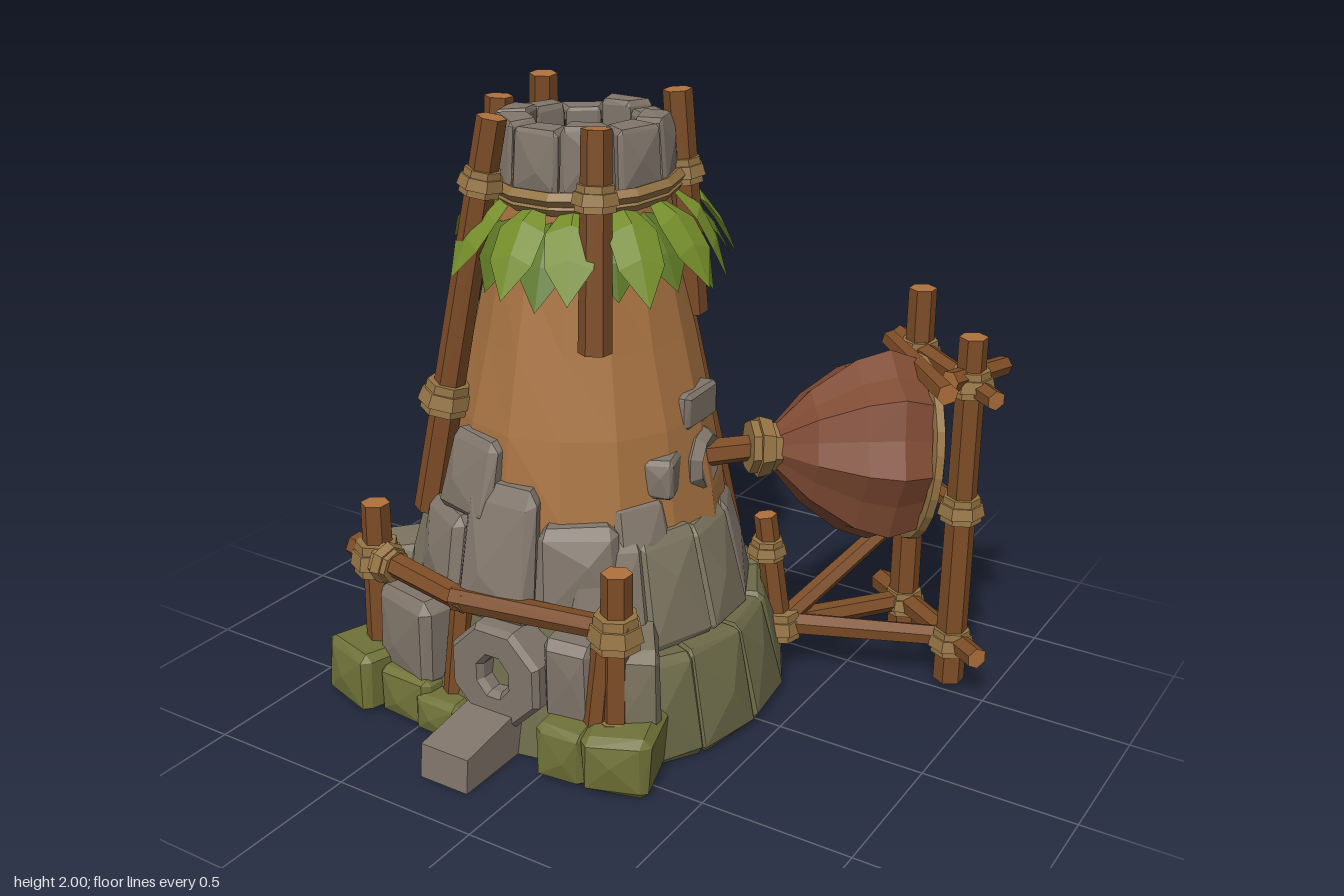
import * as THREE from 'three';
import { ConvexGeometry } from 'three/addons/geometries/ConvexGeometry.js';

const V = (x, y, z) => new THREE.Vector3(x, y, z);
const mat = (color, side = THREE.FrontSide) => new THREE.MeshStandardMaterial({ color, flatShading: true, side });
const M = {
  stone: mat(0x80756a), stoneWarm: mat(0x7c7460), moss: mat(0x6c6a48), mossy: mat(0x6f7238),
  clay: mat(0xa87342, THREE.DoubleSide), wood: mat(0x7c4c26), woodEnd: mat(0xb0713c), rope: mat(0x957444),
  leaf: mat(0x748c2a, THREE.DoubleSide), leafDark: mat(0x5c7726, THREE.DoubleSide),
  cloth: mat(0x7f4a33), dark: mat(0x3a2a20, THREE.DoubleSide),
};

export function createModel() {
  const model = new THREE.Group();
  let seed = 7;
  const rnd = () => (seed = (seed * 16807) % 2147483647) / 2147483647;
  const jit = (a) => (rnd() - 0.5) * 2 * a;

  const add = (name, geometry, material, parent = model) => {
    const mesh = new THREE.Mesh(geometry, material);
    mesh.name = name;
    parent.add(mesh);
    return mesh;
  };
  const group = (name) => {
    const g = new THREE.Group();
    g.name = name;
    model.add(g);
    return g;
  };

  // Chamfered, slightly irregular unit block mapped through a placing rule
  const block = (name, place, material, parent, c = 0.22, rough = 0.06) => {
    const pts = [];
    for (const x of [-1, 1]) for (const y of [-1, 1]) for (const z of [-1, 1]) {
      for (let axis = 0; axis < 3; axis++) {
        const p = [x, y, z].map((s, i) => s * (i === axis ? 1 : 1 - c) + jit(rough));
        pts.push(place(...p));
      }
    }
    pts.push(place(jit(0.3), jit(0.3), 1.12));
    pts.forEach((p) => { p.y = Math.max(p.y, 0); });
    return add(name, new ConvexGeometry(pts), material, parent);
  };
  const rock = (name, x, y, z, w, h, d, material, parent, turn = 0) =>
    block(name, (a, b, c) => V(a * w / 2, b * h / 2, c * d / 2)
      .applyAxisAngle(V(0, 1, 0), turn).add(V(x, y, z)), material, parent);
  // Stone of a ring: angle 0 faces +z, radius shrinks from r0 to r1 over its height
  const ringStone = (name, cx, cz, a, half, y0, y1, rIn, r0, r1, material, parent, c) =>
    block(name, (u, v, w) => {
      const t = (v + 1) / 2, rOut = r0 + (r1 - r0) * t;
      const r = rIn + (rOut - rIn) * (w + 1) / 2, ang = a + u * half;
      return V(cx + Math.sin(ang) * r, y0 + (y1 - y0) * t, cz + Math.cos(ang) * r);
    }, material, parent, c, 0.04);

  // Hexagonal log and rope binding, each between or along two points
  const log = (name, a, b, r, parent, material = [M.wood, M.woodEnd, M.woodEnd], sides = 6) => {
    const dir = b.clone().sub(a);
    const mesh = add(name, new THREE.CylinderGeometry(r * 0.93, r * 1.05, dir.length(), sides), material, parent);
    mesh.position.copy(a).add(b).multiplyScalar(0.5);
    mesh.quaternion.setFromUnitVectors(V(0, 1, 0), dir.normalize());
    return mesh;
  };
  const binding = (p, dir, r, h, parent) => {
    const d = dir.clone().normalize().multiplyScalar(h / 2);
    log('ropeBinding', p.clone().sub(d), p.clone().add(d), r, parent, M.rope, 7);
    const m = d.clone().multiplyScalar(0.45);
    log('ropeBinding', p.clone().sub(m), p.clone().add(m), r * 1.15, parent, M.rope, 7);
  };
  const UP = V(0, 1, 0);

  // Stone foundation: solid core and two tiers of blocks
  const base = group('stoneBase');
  const BX = -0.28, BZ = 0.01;
  add('foundationCore', new THREE.CylinderGeometry(0.48, 0.62, 0.62, 18), M.moss, base).position.set(BX, 0.31, BZ - 0.02);
  for (let i = 0; i < 13; i++) {
    const a = THREE.MathUtils.degToRad(58 + i * 20.3);
    ringStone('lowerWallStone', BX, BZ, a, 0.19, 0, 0.35 + jit(0.015), 0.4, 0.71, 0.63, M.moss, base, 0.14);
  }
  for (let i = 0; i < 12; i++) {
    const a = THREE.MathUtils.degToRad(45 + i * 24.5);
    ringStone('middleWallStone', BX, BZ, a, 0.225, 0.32, 0.67 + jit(0.03), 0.33, 0.59, 0.5,
      i % 3 ? M.stoneWarm : M.stone, base, 0.17);
  }
  // Uneven stones climbing the front: angle, half angle, bottom, top, outer radii
  for (const [a, h, y0, y1, r0, r1] of [
    [-0.48, 0.25, 0.42, 0.72, 0.56, 0.5], [0.06, 0.27, 0.42, 0.85, 0.57, 0.47], [0.6, 0.26, 0.45, 0.75, 0.55, 0.5],
    [-0.28, 0.27, 0.72, 0.98, 0.5, 0.43], [-1.05, 0.25, 0.62, 0.84, 0.53, 0.46], [1.05, 0.2, 0.6, 0.8, 0.51, 0.45],
    [-1.45, 0.2, 0.6, 0.8, 0.51, 0.45]])
    ringStone('frontWallStone', BX, BZ, a, h, y0, y1, 0.3, r0, r1, M.stone, base);

  // Front wall: flanking blocks and mossy footings
  for (const [x, y, z, w, h, d, m, turn] of [
    [-0.57, 0.28, 0.47, 0.27, 0.31, 0.22, M.stone, -0.25], [-0.56, 0.08, 0.5, 0.22, 0.17, 0.24, M.mossy, -0.1],
    [0.03, 0.3, 0.46, 0.16, 0.28, 0.22, M.stone, 0.2], [0.18, 0.26, 0.4, 0.18, 0.36, 0.24, M.stoneWarm, 0.6],
    [-0.76, 0.1, 0.5, 0.24, 0.21, 0.28, M.mossy, -0.3], [0.22, 0.1, 0.5, 0.22, 0.2, 0.26, M.mossy, 0.3],
    [0.06, 0.09, 0.54, 0.17, 0.19, 0.22, M.mossy, 0.1], [-0.42, 0.06, 0.53, 0.18, 0.13, 0.22, M.mossy, 0],
    [-0.78, 0.3, 0.33, 0.18, 0.4, 0.22, M.stoneWarm, -0.8]])
    rock('frontBlock', x, y, z, w, h, d, m, base, turn);

  // Stoked opening: octagonal block with a round hole, dark inside, and a sloped step
  const opening = group('hearthOpening');
  const octagon = (Path, r, sx = 1) => new Path().setFromPoints(Array.from({ length: 8 }, (_, i) => {
    const a = (i + 0.5) * Math.PI / 4;
    return new THREE.Vector2(Math.cos(a) * r * sx, Math.sin(a) * r);
  }));
  const face = octagon(THREE.Shape, 0.165);
  face.holes.push(octagon(THREE.Path, 0.08, 0.85));
  add('hearthSurround', new THREE.ExtrudeGeometry(face, {
    depth: 0.16, bevelEnabled: true, bevelSize: 0.015, bevelThickness: 0.02, bevelSegments: 1 }), M.stone, opening)
    .position.set(-0.2, 0.27, 0.43);
  add('hearthInside', new THREE.CircleGeometry(0.1, 8), M.dark, opening).position.set(-0.2, 0.26, 0.53);
  add('step', new ConvexGeometry([-0.29, -0.11].flatMap((x) => [
    V(x - 0.02, 0, 0.845), V(x - 0.02, 0.115, 0.835), V(x - 0.02, 0.16, 0.52), V(x - 0.02, 0, 0.5)])), M.stone, opening);
  for (const x of [-0.41, 0.13]) log('sideJamb', V(x, 0.1, 0.54), V(x + 0.03, 0.5, 0.51), 0.04, opening);

  // Tapered clay body with gentle dents
  const tower = group('tower');
  const TX = -0.26, TZ = -0.01;
  const clay = new THREE.LatheGeometry([[0.5, 0.45], [0.455, 0.75], [0.415, 1.0], [0.355, 1.25], [0.3, 1.5], [0.265, 1.78]]
    .map(([r, y]) => new THREE.Vector2(r, y)), 15);
  const cp = clay.attributes.position;
  for (let i = 0; i < cp.count; i++) {
    const x = cp.getX(i), y = cp.getY(i), z = cp.getZ(i);
    const k = 1 + 0.025 * Math.sin(x * 17 + y * 9) * Math.cos(z * 15 - y * 6);
    cp.setXYZ(i, x * k, y, z * k);
  }
  add('clayBody', clay, M.clay, tower).position.set(TX, 0, TZ);
  for (const [x, y, z, w, h, d, turn] of [[0.09, 1.03, -0.07, 0.13, 0.12, 0.2, 0], [-0.6, 1.17, 0.08, 0.13, 0.19, 0.18, 0.2],
    [-0.64, 0.95, -0.05, 0.12, 0.14, 0.16, 0], [0.12, 0.86, 0.12, 0.1, 0.13, 0.14, 0.3]])
    rock('setStone', x, y, z, w, h, d, M.stone, tower, turn);

  // Chimney crown: stone ring, dark shaft and rope hoop
  const CX = -0.25, CZ = -0.02;
  for (let i = 0; i < 10; i++)
    ringStone('crownStone', CX, CZ, i * Math.PI / 5, 0.3, 1.73, 1.925 + jit(0.015), 0.175, 0.29, 0.275, M.stone, tower, 0.16);
  add('shaft', new THREE.CylinderGeometry(0.2, 0.2, 0.3, 10, 1, true), M.dark, tower).position.set(CX, 1.72, CZ);
  add('shaftFloor', new THREE.CircleGeometry(0.2, 10).rotateX(-Math.PI / 2), M.dark, tower).position.set(CX, 1.58, CZ);
  for (const [y, r] of [[1.74, 0.292], [1.71, 0.28]]) {
    const hoop = add('ropeHoop', new THREE.TorusGeometry(r, 0.024, 5, 14).rotateX(Math.PI / 2), M.rope, tower);
    hoop.position.set(CX, y, CZ);
    hoop.rotation.x = 0.05;
  }

  // Posts tied round the crown: top point, bottom point
  for (const [a, b] of [
    [V(-0.39, 1.95, 0.265), V(-0.63, 0.65, 0.36)], [V(-0.035, 1.95, 0.235), V(-0.02, 1.28, 0.28)],
    [V(-0.015, 2, -0.18), V(0.02, 1.28, -0.22)], [V(-0.54, 1.96, 0.03), V(-0.57, 1.36, 0.04)],
    [V(-0.52, 2, -0.18), V(-0.56, 1.25, -0.23)]]) {
    log('crownPost', b, a, 0.05, tower);
    const d = a.clone().sub(b).normalize();
    binding(a.clone().addScaledVector(d, -(a.y - 1.75)), d, 0.062, 0.08, tower);
  }
  binding(V(-0.56, 1.05, 0.33), V(0.25, 1.3, -0.1), 0.075, 0.1, tower);
  log('backPole', V(0.12, 0.5, -0.32), V(-0.01, 1.3, -0.22), 0.035, tower);

  // Drooping folded leaves in two layers
  const leaves = group('leafSkirt');
  const leafGeometry = (len, wide) => {
    const ridge = [[0, 0], [0.09, -0.05], [0.15, -0.14], [0.2, -0.27]].map(([o, y]) => [o * len, y * len]);
    const half = [0.025, 0.075, 0.07, 0].map((w) => w * wide);
    const pos = [], index = [];
    ridge.forEach(([o, y], i) => pos.push(-half[i], y - half[i] * 0.35, o, 0, y, o, half[i], y - half[i] * 0.35, o));
    for (let i = 0; i < 3; i++) for (const k of [0, 1]) {
      const a = i * 3 + k;
      index.push(a, a + 3, a + 1, a + 1, a + 3, a + 4);
    }
    const g = new THREE.BufferGeometry();
    g.setAttribute('position', new THREE.Float32BufferAttribute(pos, 3));
    g.setIndex(index);
    g.computeVertexNormals();
    return g;
  };
  for (const [count, r, y, len, m, shift] of [[13, 0.27, 1.71, 1.02, M.leaf, 0], [12, 0.25, 1.68, 0.92, M.leafDark, 0.24]])
    for (let i = 0; i < count; i++) {
      const a = shift + i * Math.PI * 2 / count + jit(0.07);
      const leaf = add('leaf', leafGeometry(len + jit(0.1), 1.05), m, leaves);
      leaf.position.set(TX + Math.sin(a) * r, y, -0.04 + Math.cos(a) * r);
      leaf.rotation.set(jit(0.12), a, 0, 'YXZ');
    }

  // Front fence: two posts and a bent rail
  const fence = group('frontFence');
  for (const x of [-0.75, 0.19]) {
    log('fencePost', V(x, 0.04, 0.5), V(x, 0.69, 0.49), 0.052, fence);
    binding(V(x, 0.5, 0.495), UP, 0.075, 0.11, fence);
    binding(V(x, 0.17, 0.5), UP, 0.068, 0.06, fence);
  }
  log('fenceRail', V(-0.84, 0.52, 0.5), V(-0.33, 0.475, 0.56), 0.042, fence);
  log('fenceRail', V(-0.38, 0.48, 0.56), V(0.25, 0.51, 0.5), 0.04, fence);
  binding(V(-0.68, 0.5, 0.52), V(1, -0.09, 0.12), 0.06, 0.07, fence);

  // Bellows: ribbed bag tapering to a nozzle that enters the tower
  const bellows = group('bellows');
  const S = V(0.27, 0.87, -0.2), E = V(0.67, 0.83, -0.565);
  const axis = E.clone().sub(S).normalize();
  const bag = new THREE.LatheGeometry([[0.055, 0], [0.07, 0.06], [0.19, 0.17], [0.29, 0.31], [0.325, 0.42], [0.29, 0.54], [0, 0.53]]
    .map(([r, y]) => new THREE.Vector2(r, y)), 16);
  const bp = bag.attributes.position;
  for (let i = 0; i < bp.count; i++) {
    const rib = Math.floor(i / 7) % 2 ? 0.92 : 1.03;
    bp.setXYZ(i, bp.getX(i) * rib * 0.86, bp.getY(i), bp.getZ(i) * rib);
  }
  // Frame with local y along the axis, x sideways and z upright
  const side = V().crossVectors(axis, UP).normalize();
  const frame = new THREE.Matrix4().makeBasis(side, axis, V().crossVectors(side, axis)).setPosition(S);
  add('bellowsBag', bag.applyMatrix4(frame), M.cloth, bellows);
  const rim = Array.from({ length: 12 }, (_, i) => {
    const a = i * Math.PI / 6;
    return V(Math.cos(a) * 0.255, 0.535, Math.sin(a) * 0.295).applyMatrix4(frame);
  });
  add('bagRim', new THREE.TubeGeometry(new THREE.CatmullRomCurve3(rim, true), 24, 0.022, 5, true), M.rope, bellows);
  log('nozzle', V(0.07, 0.85, -0.03), S.clone().addScaledVector(axis, 0.03), 0.045, bellows);
  binding(S.clone().addScaledVector(axis, 0.03), axis, 0.085, 0.1, bellows);
  const collar = add('nozzleCollar', new THREE.TorusGeometry(0.075, 0.035, 5, 9), M.stone, bellows);
  collar.position.set(0.155, 0.85, -0.06);
  collar.rotation.y = Math.PI / 2 + 0.2;

  // Timber frame carrying the bellows
  const rack = group('bellowsFrame');
  const posts = [[0.6, 1.32, -0.73], [0.855, 1.25, -0.55]];
  for (const [x, top, z] of posts) {
    log('framePost', V(x, 0.02, z), V(x, top, z), 0.05, rack);
    for (const y of [0.17, 0.66, 1.1]) binding(V(x, y, z), UP, 0.066, 0.085, rack);
  }
  log('topBar', V(0.5, 1.12, -0.79), V(0.97, 1.08, -0.48), 0.036, rack);
  log('middleBar', V(0.55, 0.66, -0.76), V(0.9, 0.66, -0.52), 0.034, rack);
  log('lowBar', V(0.47, 0.17, -0.82), V(0.98, 0.17, -0.47), 0.04, rack);
  log('topBrace', V(0.84, 1.1, -0.4), V(0.49, 1.12, -0.74), 0.035, rack);
  log('topStub', V(0.82, 1.12, -0.46), V(0.91, 1.12, -0.7), 0.035, rack);
  const foot = V(0.32, 0.18, -0.33);
  log('anchorPost', V(0.32, 0.12, -0.33), V(0.26, 0.58, -0.31), 0.042, rack);
  binding(foot, UP, 0.065, 0.1, rack);
  binding(V(0.27, 0.46, -0.31), UP, 0.058, 0.07, rack);
  for (const [x, , z] of posts) log('groundBar', foot, V(x + 0.03, 0.17, z - 0.03), 0.038, rack);
  log('diagonalBrace', foot, V(0.6, 0.53, -0.71), 0.034, rack);

  return model;
}
